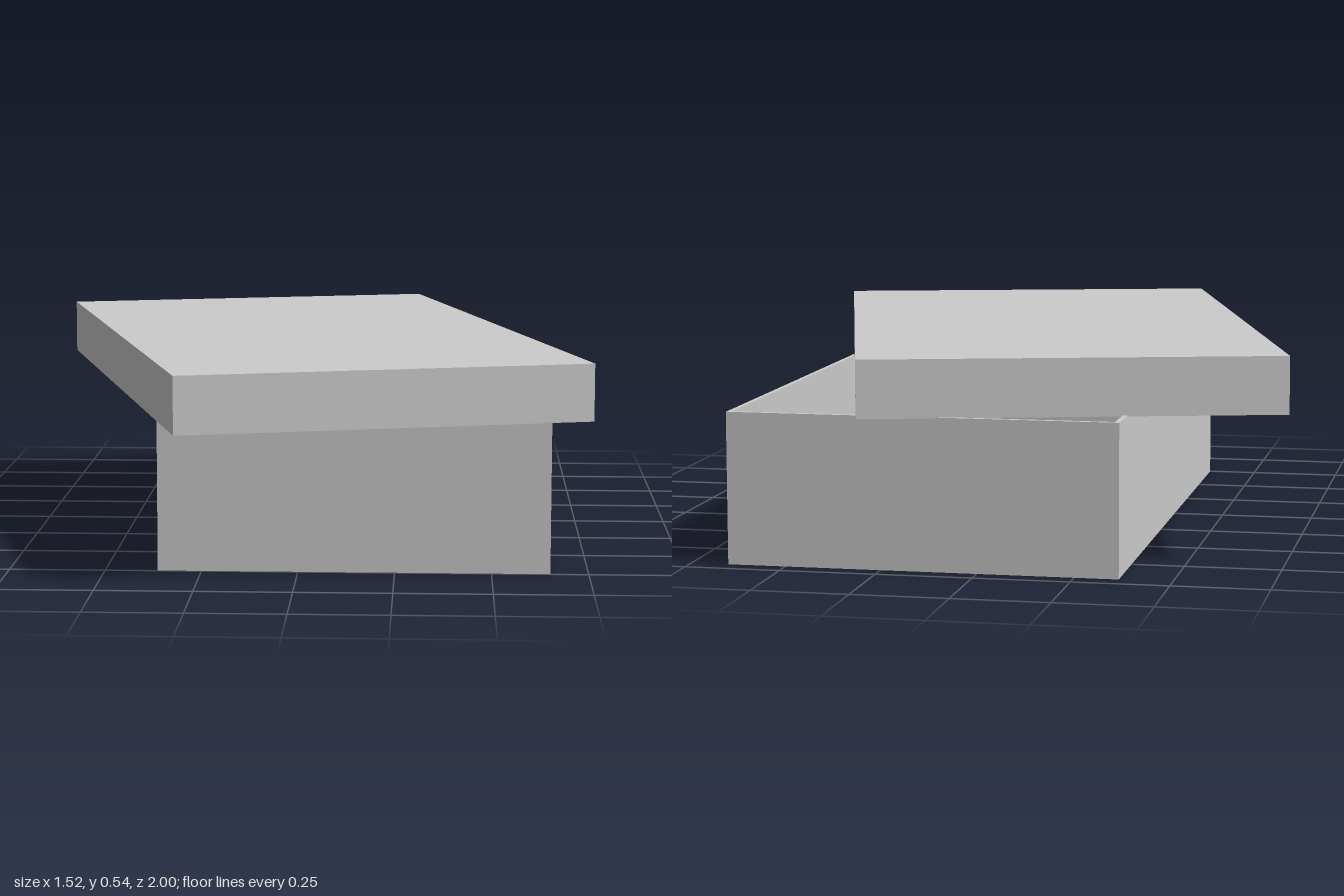
import * as THREE from 'three';

// Open-topped tray, one closed skin: outer base, outer walls, rim, inner walls, inner floor
function trayGeometry(width, height, length, wall, floor) {
  const ring = (inset, y) => {
    const x = width / 2 - inset, z = length / 2 - inset;
    return [[-x, y, z], [x, y, z], [x, y, -z], [-x, y, -z]];
  };
  const rings = [ring(0, 0), ring(0, height), ring(wall, height), ring(wall, floor)];
  const positions = [];
  const quad = (a, b, c, d) => positions.push(...a, ...b, ...c, ...a, ...c, ...d);

  for (let r = 0; r < rings.length - 1; r++) {
    for (let i = 0; i < 4; i++) {
      const j = (i + 1) % 4;
      quad(rings[r][i], rings[r][j], rings[r + 1][j], rings[r + 1][i]);
    }
  }
  quad(...[...rings[0]].reverse()); // underside
  quad(...rings[3]); // inner floor

  const geometry = new THREE.BufferGeometry();
  geometry.setAttribute('position', new THREE.Float32BufferAttribute(positions, 3));
  geometry.computeVertexNormals();
  return geometry;
}

export function createModel() {
  const model = new THREE.Group();
  model.name = 'boxWithLid';
  const material = new THREE.MeshStandardMaterial({ color: 0xcccccc, flatShading: true });

  // Thin-walled box body
  const body = new THREE.Mesh(trayGeometry(1.015, 0.395, 1.695, 0.013, 0.013), material);
  body.name = 'boxBody';
  body.position.set(0.144, 0, -0.1);
  model.add(body);

  // Lid: an upturned tray lying askew on the body
  const lid = new THREE.Group();
  lid.name = 'lid';
  lid.position.y = 0.543;
  lid.rotation.y = THREE.MathUtils.degToRad(15.15);
  const shell = new THREE.Mesh(trayGeometry(1.095, 0.15, 1.774, 0.038, 0.03), material);
  shell.name = 'lidShell';
  shell.rotation.x = Math.PI;
  lid.add(shell);
  model.add(lid);

  return model;
}
